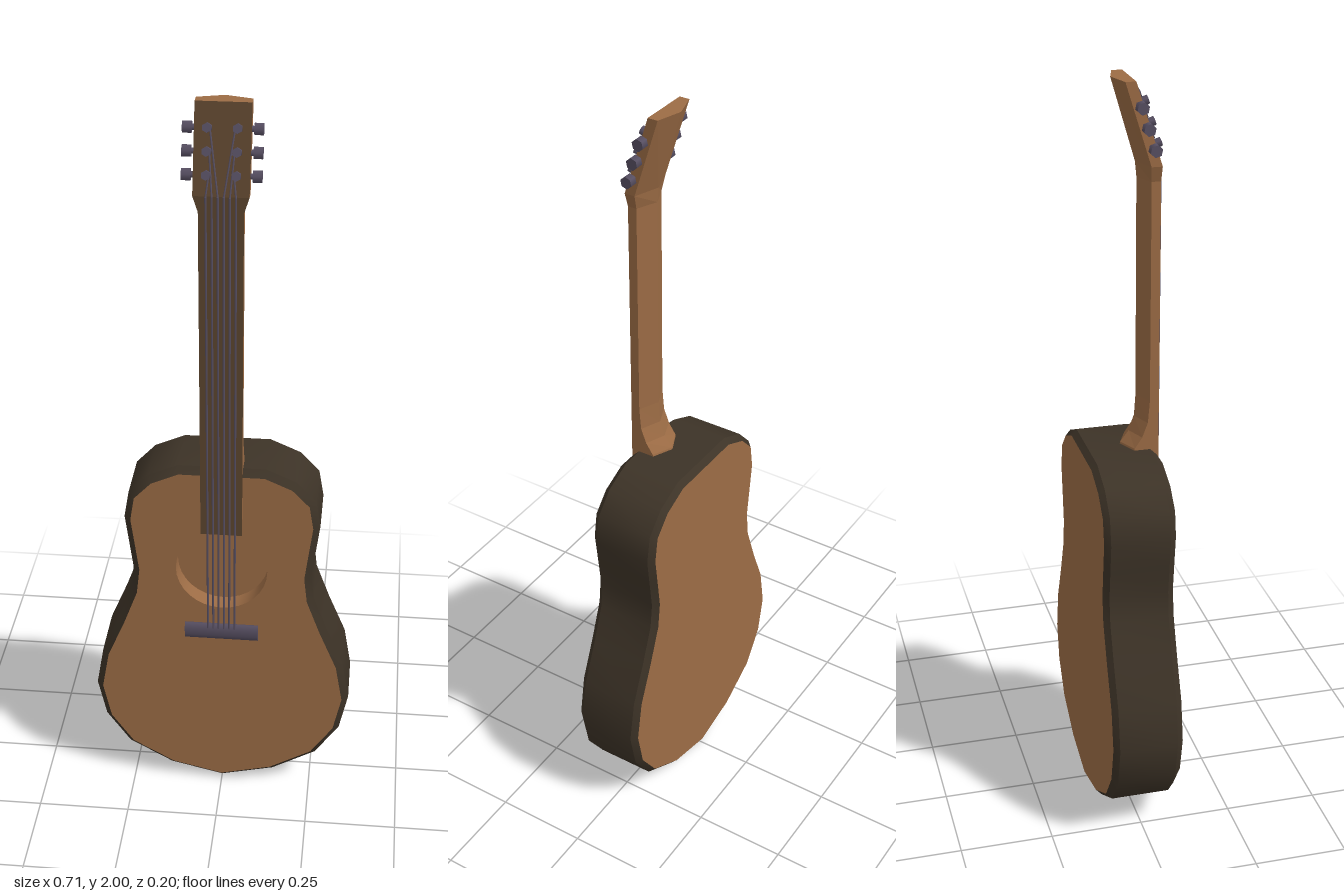
import * as THREE from 'three';

const mat = (name, color) => {
  const m = new THREE.MeshStandardMaterial({ color });
  m.name = name;
  return m;
};

// Surface between two matching point lists; smooth along the strip unless flat
function strip(a, b, { closed = false, flat = false } = {}) {
  const n = a.length, index = [];
  for (let i = 0; i < (closed ? n : n - 1); i++) {
    const k = (i + 1) % n;
    index.push(i, n + i, k, k, n + i, n + k);
  }
  let g = new THREE.BufferGeometry().setFromPoints([...a, ...b]);
  g.setIndex(index);
  if (flat) g = g.toNonIndexed();
  g.computeVertexNormals();
  return g;
}

// Thin rod between two points
function rod(p, q, r) {
  const d = q.clone().sub(p);
  const g = new THREE.CylinderGeometry(r, r, d.length(), 6);
  g.applyQuaternion(new THREE.Quaternion().setFromUnitVectors(new THREE.Vector3(0, 1, 0), d.normalize()));
  const c = p.clone().add(q).multiplyScalar(0.5);
  return g.translate(c.x, c.y, c.z);
}

export function createModel() {
  const wood = mat('tan wood', 0x9c6c45);
  const darkWood = mat('dark fretboard wood', 0x5c452e);
  const sideWood = mat('dark side wood', 0x3d3327);
  const metal = mat('violet grey metal', 0x574f62);

  const model = new THREE.Group();
  model.name = 'guitar';
  const add = (parent, name, geometry, material) => {
    const m = new THREE.Mesh(geometry, material);
    m.name = name;
    parent.add(m);
    return m;
  };
  const V = (x, y, z) => new THREE.Vector3(x, y, z);

  // Body outline, anticlockwise from the bottom, mirrored
  const half = [[0.145, 0.035], [0.265, 0.105], [0.33, 0.2], [0.353, 0.31], [0.333, 0.425],
    [0.285, 0.54], [0.248, 0.64], [0.24, 0.71], [0.25, 0.79], [0.26, 0.87], [0.247, 0.945],
    [0.195, 1.0], [0.115, 1.035]];
  const outline = [[0, 0], ...half, ...half.map(([x, y]) => [-x, y]).reverse()]
    .map(([x, y]) => new THREE.Vector2(x, y));
  const inset = (d) => outline.map((p, i) => {
    const n = outline.length;
    const t = outline[(i + 1) % n].clone().sub(outline[(i + n - 1) % n]).normalize();
    return new THREE.Vector2(p.x - t.y * d, p.y + t.x * d);
  });
  const rings = [[0.018, 0.09], [0, 0.072], [0, -0.085], [0.015, -0.1]]
    .map(([d, z]) => inset(d).map((p) => V(p.x, p.y, z)));
  const body = new THREE.Group();
  body.name = 'body';
  model.add(body);
  ['frontBevel', 'bodySide', 'backBevel'].forEach((name, i) =>
    add(body, name, strip(rings[i], rings[i + 1], { closed: true }), sideWood));

  // Front with sound hole, and back
  const holeY = 0.725, holeR = 0.123;
  const front = new THREE.Shape(inset(0.018));
  front.holes.push(new THREE.Path().absarc(0, holeY, holeR, 0, Math.PI * 2, true));
  add(body, 'frontBoard', new THREE.ShapeGeometry(front, 16), wood).position.z = 0.09;
  const back = add(body, 'backBoard', new THREE.ShapeGeometry(new THREE.Shape(inset(0.015))), wood);
  back.position.z = -0.1;
  back.rotation.y = Math.PI;

  // Recess behind the sound hole
  const circle = (z) => Array.from({ length: 32 }, (_, i) => {
    const t = (i / 32) * Math.PI * 2;
    return V(Math.cos(t) * holeR, holeY + Math.sin(t) * holeR, z);
  });
  add(body, 'soundHoleWall', strip(circle(0.04), circle(0.09), { closed: true }), wood);
  add(body, 'soundHoleFloor', new THREE.CircleGeometry(holeR, 32), wood).position.set(0, holeY, 0.04);

  // Neck, heel and headstock: five-sided sections [y, half width, front z, side z, ridge z]
  const sections = [
    [0.84, 0.055, 0.094, 0.086, 0.082], [1.0, 0.055, 0.094, 0.08, 0.07],
    [1.02, 0.055, 0.094, 0.025, 0], [1.04, 0.055, 0.094, 0.03, 0.005],
    [1.07, 0.055, 0.094, 0.05, 0.028], [1.11, 0.055, 0.094, 0.065, 0.042],
    [1.17, 0.055, 0.094, 0.07, 0.046], [1.75, 0.055, 0.094, 0.07, 0.046],
    [1.79, 0.068, 0.094, 0.066, 0.042], [2.0, 0.068, 0.027, 0, -0.02]];
  const corners = sections.map(([y, w, zf, zs, zr]) =>
    [V(-w, y, zf), V(w, y, zf), V(w, y, zs), V(0, y, zr), V(-w, y, zs)]);
  const neck = new THREE.Group();
  neck.name = 'neck';
  model.add(neck);
  ['fretboard', 'neckLeft', 'neckBackLeft', 'neckBackRight', 'neckRight'].forEach((name, j) =>
    add(neck, name, strip(corners.map((c) => c[j]), corners.map((c) => c[(j + 1) % 5]), { flat: true }),
      j === 0 ? darkWood : wood));
  const ends = [['headstockTop', corners.at(-1), [0, 1, 2, 0, 2, 4, 4, 2, 3]],
    ['fretboardEnd', corners[0], [0, 2, 1, 0, 4, 2, 4, 3, 2]]];
  for (const [name, points, index] of ends) {
    const g = new THREE.BufferGeometry().setFromPoints(points);
    g.setIndex(index);
    g.computeVertexNormals();
    add(neck, name, g, wood);
  }

  // Bridge
  const bridge = new THREE.CylinderGeometry(0.025, 0.025, 0.2, 8).rotateZ(Math.PI / 2);
  bridge.rotateX(Math.PI / 8).scale(1, 1.05, 0.44);
  add(model, 'bridge', bridge, metal).position.set(0, 0.525, 0.09);

  // Posts and tuning knobs, tilted with the headstock
  const head = new THREE.Group();
  head.name = 'tuners';
  head.position.set(0, 1.79, 0.094);
  head.rotation.x = -0.309;
  model.add(head);
  const rows = [0.05, 0.105, 0.16];
  for (const side of [-1, 1]) {
    for (const y of rows) {
      add(head, 'stringPost', rod(V(side * 0.036, y, -0.004), V(side * 0.036, y, 0.02), 0.012), metal);
      add(head, 'tunerShaft', rod(V(side * 0.06, y, -0.008), V(side * 0.08, y, -0.008), 0.008), metal);
      add(head, 'tunerKnob', rod(V(side * 0.074, y, -0.008), V(side * 0.096, y, -0.008), 0.016), metal);
    }
  }

  // Strings from bridge to nut, then on to their posts
  head.updateMatrix();
  for (let i = 0; i < 6; i++) {
    const x = (i - 2.5) * 0.0145;
    const row = i < 3 ? i : 5 - i;
    const nut = V(x, 1.79, 0.097);
    const post = V(Math.sign(x) * 0.03, rows[row], 0.006).applyMatrix4(head.matrix);
    add(model, 'string', rod(V(x, 0.53, 0.097), nut, 0.003), metal);
    add(model, 'stringEnd', rod(nut, post, 0.0025), metal);
  }
  return model;
}
